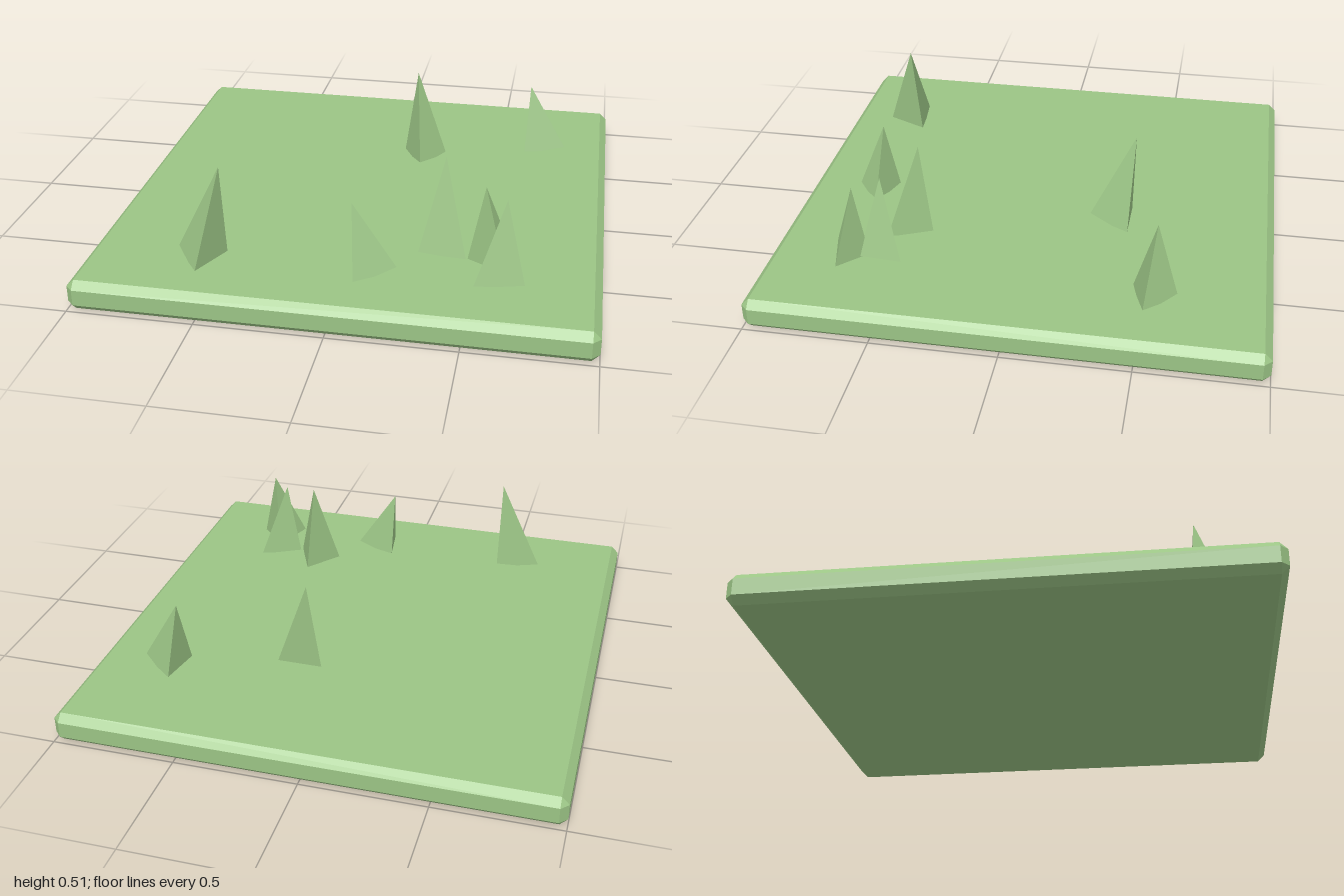
import * as THREE from 'three';
import { ConvexGeometry } from 'three/addons/geometries/ConvexGeometry.js';

const TOP = 0.125;
const BEVEL = 0.03;

// Each spike: apex [x, y, z], then three base corners [x, y, z]
const SPIKES = [
  [[-0.463, 0.51, 0.695], [-0.65, 0.14, 0.67], [-0.458, 0.11, 0.655], [-0.54, 0.115, 0.83]],
  [[0.047, 0.4, 0.685], [0.22, 0.14, 0.685], [0.047, 0.11, 0.622], [0.072, 0.11, 0.803]],
  [[0.373, 0.505, 0.442], [0.28, 0.12, 0.532], [0.397, 0.11, 0.388], [0.472, 0.13, 0.562]],
  [[0.54, 0.447, 0.557], [0.475, 0.11, 0.548], [0.643, 0.13, 0.462], [0.63, 0.13, 0.635]],
  [[0.628, 0.445, 0.645], [0.522, 0.13, 0.757], [0.712, 0.12, 0.71], [0.6, 0.11, 0.6]],
  [[0.14, 0.5, -0.413], [0.085, 0.11, -0.402], [0.277, 0.115, -0.4], [0.178, 0.14, -0.235]],
  [[0.642, 0.415, -0.548], [0.81, 0.14, -0.515], [0.665, 0.11, -0.64], [0.63, 0.115, -0.46]],
];

export function createModel() {
  const group = new THREE.Group();
  const grass = new THREE.MeshStandardMaterial({ color: 0x9bc485, flatShading: true });

  const addHull = (name, points) => {
    const mesh = new THREE.Mesh(new ConvexGeometry(points), grass);
    mesh.name = name;
    group.add(mesh);
  };

  // Square slab with chamfered edges and cut corners
  const slab = [];
  const inner = 1 - BEVEL;
  for (const sx of [-1, 1]) {
    for (const sz of [-1, 1]) {
      for (const [edge, rim] of [[0, BEVEL], [TOP, TOP - BEVEL]]) {
        slab.push(
          new THREE.Vector3(sx * inner, edge, sz * inner),
          new THREE.Vector3(sx, rim, sz * inner),
          new THREE.Vector3(sx * inner, rim, sz),
        );
      }
    }
  }
  addHull('groundSlab', slab);

  // Leaning three-sided grass spikes, slightly sunk into the slab
  SPIKES.forEach((corners, i) => {
    addHull(`grassSpike${i + 1}`, corners.map((c) => new THREE.Vector3(...c)));
  });

  return group;
}
